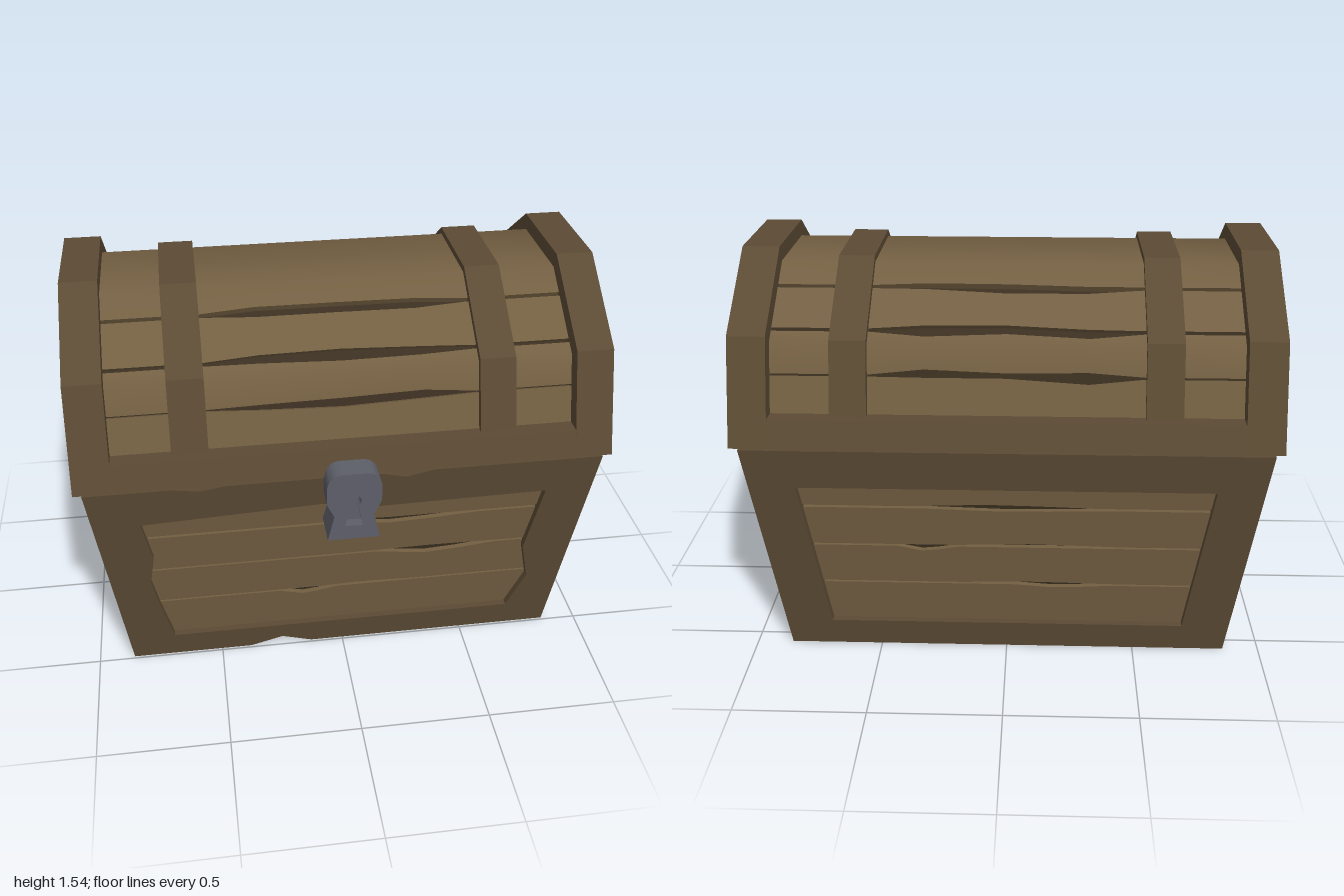
import * as THREE from 'three';
import { toCreasedNormals } from 'three/addons/utils/BufferGeometryUtils.js';

const mat = (color) => new THREE.MeshStandardMaterial({ color });
const ZC = -0.035; // depth centre of the box

// half width and half depth of the flared body at height y
const hx = (y) => 0.86 + 0.12 * y;
const hz = (y) => 0.525 + 0.14 * y;
const lerp = THREE.MathUtils.lerp;

function makeRng(seed) {
  return () => (seed = (seed * 16807) % 2147483647) / 2147483647;
}

const toShape = (pts) => new THREE.Shape(pts.map(([x, y]) => new THREE.Vector2(x, y)));

function extrude(shape, depth) {
  return new THREE.ExtrudeGeometry(shape, { depth, bevelEnabled: false, curveSegments: 10 });
}

// Lid outline, inset by d: six corners from front to back
function lidProfile(d) {
  const half = [
    [0.66 - 1.05 * d, 0.92],
    [0.5375 - 0.853 * d, 1.305 - 0.618 * d],
    [0.205 - 0.323 * d, 1.545 - d],
  ];
  return [...half, ...half.slice().reverse().map(([z, y]) => [-z, y])];
}

export function createModel() {
  const root = new THREE.Group();
  const chest = new THREE.Group();
  chest.name = 'chest';
  chest.position.z = ZC;
  root.add(chest);

  const frameMat = mat(0x5c4b34);
  const plankMat = mat(0x735f42);
  const darkMat = mat(0x3a2f20);
  const lockMat = mat(0x5d5f69);
  const goldMat = mat(0xc9a53a);
  const rng = makeRng(77);

  function add(name, geo, material, parent = chest) {
    const mesh = new THREE.Mesh(geo, material);
    mesh.name = name;
    parent.add(mesh);
    return mesh;
  }

  // Extrude inward from a slanted wall whose distance at height y is wall(y)
  function wallPiece(shape, depth, wall, recess) {
    const geo = extrude(shape, depth);
    const p = geo.attributes.position;
    for (let i = 0; i < p.count; i++) {
      p.setZ(i, p.getZ(i) - depth - recess + wall(p.getY(i)));
    }
    geo.computeVertexNormals();
    return geo;
  }

  // Board with a shallow chip in its lower and upper edge
  function plankShape(y0, y1, half) {
    const chip = (y, dir) => {
      const c = (rng() - 0.5) * half(y);
      const w = (0.15 + 0.3 * rng()) * half(y);
      const d = (0.008 + 0.02 * rng()) * dir;
      return [[c - w, y], [c - w * 0.2, y + d], [c + w * 0.3, y + d * 0.7], [c + w, y]];
    };
    return toShape([
      [-half(y0), y0], ...chip(y0, 0.4), [half(y0), y0],
      [half(y1), y1], ...chip(y1, -1).reverse(), [-half(y1), y1],
    ]);
  }

  // ---- Body: four framed walls with recessed planks
  const rows = [[0.09, 0.292], [0.3, 0.472], [0.48, 0.648], [0.658, 0.79]];
  const frontHole = [
    [-0.69, 0.11], [-0.735, 0.3], [-0.76, 0.43], [-0.74, 0.56], [-0.775, 0.745],
    [-0.1, 0.78], [0.12, 0.745], [0.77, 0.755], [0.72, 0.45], [0.757, 0.28], [0.69, 0.11],
  ];
  const walls = ['front', 'left', 'back', 'right'];
  walls.forEach((side, k) => {
    const long = k % 2 === 0;
    const [edge, wall] = long ? [hx, hz] : [hz, hx];
    const [b, t] = long ? [0.69, 0.775] : [0.43, 0.525];
    const holeHalf = (y) => lerp(b, t, (y - 0.115) / 0.635);
    const group = new THREE.Group();
    group.name = side + 'Wall';
    group.rotation.y = (k * Math.PI) / 2;
    chest.add(group);

    const isFront = k === 0;
    const chipped = isFront ? [[-0.38, 0], [-0.25, 0.04], [-0.13, 0]] : [];
    const worn = isFront ? [[0.32, 0.91], [0.22, 0.885], [0.12, 0.91], [-0.45, 0.91], [-0.55, 0.893], [-0.65, 0.91]] : [];
    const frame = toShape([
      [-edge(0), 0], ...chipped, [edge(0), 0],
      [edge(0.91), 0.91], ...worn, [-edge(0.91), 0.91],
    ]);
    const hole = isFront ? frontHole : [[-b, 0.115], [-t, 0.75], [t, 0.75], [b, 0.115]];
    frame.holes.push(new THREE.Path(hole.map(([x, y]) => new THREE.Vector2(x, y))));
    add(side + 'Frame', wallPiece(frame, 0.06, wall, 0), frameMat, group);

    for (const [y0, y1] of rows) {
      const shape = plankShape(y0, y1, (y) => holeHalf(y) + 0.045);
      add(side + 'Plank', wallPiece(shape, 0.03, wall, 0.028), plankMat, group);
    }
  });

  // Dark inner box behind the planks, closing the bottom
  const core = new THREE.BoxGeometry(2, 0.87, 2).translate(0, 0.435, 0);
  const cp = core.attributes.position;
  for (let i = 0; i < cp.count; i++) {
    const y = cp.getY(i);
    cp.setXYZ(i, cp.getX(i) * (hx(y) - 0.05), y, cp.getZ(i) * (hz(y) - 0.05));
  }
  core.computeVertexNormals();
  add('innerBox', core, darkMat);
  add('treasure', new THREE.BoxGeometry(1.7, 0.04, 1.1).translate(0, 0.89, 0), goldMat);

  // ---- Lid: prisms that run along x
  function prism(name, shape, x0, x1, material) {
    const geo = extrude(shape, x1 - x0).translate(0, 0, x0).rotateY(Math.PI / 2);
    return add(name, geo, material);
  }
  prism('lidCore', toShape(lidProfile(0.085).reverse()), -0.93, 0.93, darkMat);
  prism('lidRail', toShape([[-0.66, 0.92], [0.66, 0.92], [0.628, 1.02], [-0.628, 1.02]]), -0.87, 0.87, frameMat);

  const holePts = [[0.4975, 1.01], [0.4025, 1.28], [0.155, 1.46]];
  const endHole = [...holePts, ...holePts.slice().reverse().map(([z, y]) => [-z, y])];
  const endHalf = (y) => 0.045 + (y < 1.28
    ? lerp(0.4975, 0.4025, (y - 1.01) / 0.27)
    : lerp(0.4025, 0.155, (y - 1.28) / 0.18));

  for (const s of [-1, 1]) {
    const ring = toShape(lidProfile(0).reverse());
    ring.holes.push(new THREE.Path(endHole.map(([x, y]) => new THREE.Vector2(x, y))));
    prism('lidEndFrame', ring, s > 0 ? 0.86 : -1, s > 0 ? 1 : -0.86, frameMat);
    prism('lidStrap', toShape(lidProfile(0.035).reverse()), s > 0 ? 0.505 : -0.64, s > 0 ? 0.64 : -0.505, frameMat);
    for (const [y0, y1] of [[0.99, 1.163], [1.172, 1.335], [1.347, 1.48]]) {
      prism('lidEndPlank', plankShape(y0, y1, endHalf), s > 0 ? 0.925 : -0.96, s > 0 ? 0.96 : -0.925, plankMat);
    }
  }

  // Curved planks: t counts along the five sides of the lid outline
  function lidPoint(t, d) {
    const p = lidProfile(d);
    const i = Math.min(4, Math.floor(t));
    return [lerp(p[i][0], p[i + 1][0], t - i), lerp(p[i][1], p[i + 1][1], t - i)];
  }
  function lidPlank(a, b) {
    const xs = [-0.88, -0.5, -0.3, 0, 0.3, 0.5, 0.88];
    const corners = [1, 2, 3, 4].filter((c) => c > a && c < b);
    const pos = [];
    const idx = [];
    const n = 2 * (corners.length + 2);
    xs.forEach((x, i) => {
      const worn = i > 1 && i < 5;
      const ts = [a + (worn ? 0.06 * rng() : 0), ...corners, b - (worn ? 0.06 * rng() : 0)];
      const loop = [...ts.map((t) => lidPoint(t, 0.06)), ...ts.reverse().map((t) => lidPoint(t, 0.09))];
      loop.forEach(([z, y]) => pos.push(x, y, z));
      if (i === 0) return;
      for (let j = 0; j < n; j++) {
        const p = (i - 1) * n + j;
        const q = (i - 1) * n + ((j + 1) % n);
        idx.push(p, p + n, q, q, p + n, q + n);
      }
    });
    const geo = new THREE.BufferGeometry();
    geo.setAttribute('position', new THREE.Float32BufferAttribute(pos, 3));
    geo.setIndex(idx);
    return toCreasedNormals(geo, 0.7);
  }
  const spans = [[0.2, 0.665], [0.685, 1.13], [1.17, 1.66], [1.7, 3.3], [3.34, 3.83], [3.87, 4.315], [4.335, 4.8]];
  for (const [a, b] of spans) add('lidPlank', lidPlank(a, b), plankMat);

  // ---- Lock plate with keyhole
  const lock = new THREE.Group();
  lock.name = 'lock';
  lock.position.set(0.008, 0, 0);
  root.add(lock);
  const plate = new THREE.Shape();
  plate.moveTo(-0.098, 0.685);
  plate.lineTo(0.098, 0.685);
  plate.lineTo(0.074, 0.79);
  plate.lineTo(0.102, 0.85);
  plate.lineTo(0.102, 0.915);
  plate.quadraticCurveTo(0.095, 0.975, 0.04, 0.975);
  plate.lineTo(-0.04, 0.975);
  plate.quadraticCurveTo(-0.095, 0.975, -0.102, 0.915);
  plate.lineTo(-0.102, 0.85);
  plate.lineTo(-0.074, 0.79);
  const keyhole = new THREE.Path();
  keyhole.moveTo(-0.033, 0.745);
  keyhole.lineTo(-0.014, 0.835);
  keyhole.absarc(0, 0.855, 0.026, -2.2, -0.94, true);
  keyhole.lineTo(0.014, 0.835);
  keyhole.lineTo(0.033, 0.745);
  plate.holes.push(keyhole);
  add('lockPlate', toCreasedNormals(extrude(plate, 0.14).translate(0, 0, 0.56), 0.5), lockMat, lock);
  add('keyholeBack', new THREE.BoxGeometry(0.12, 0.17, 0.05).translate(0, 0.815, 0.635), lockMat, lock);

  return root;
}
